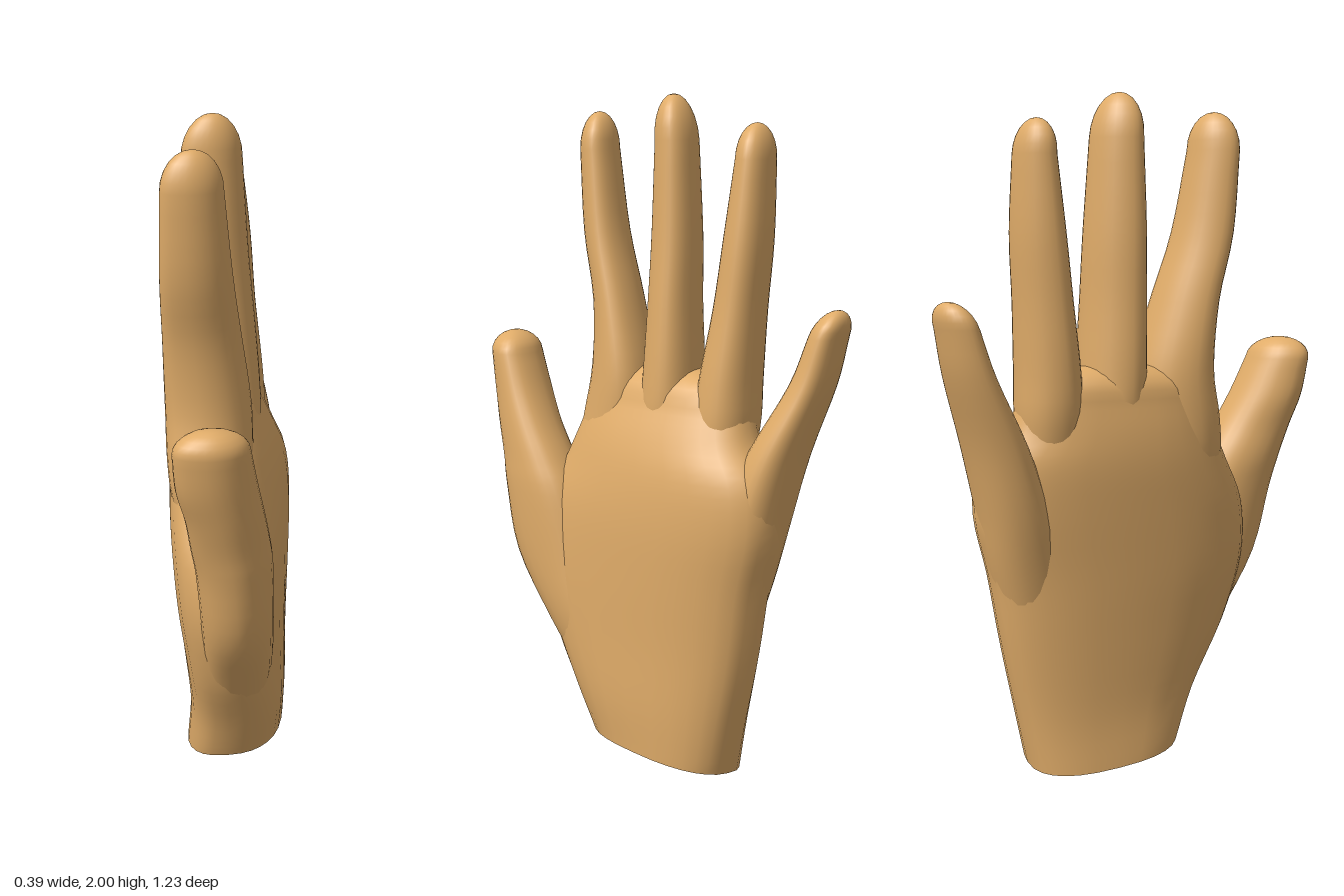
import * as THREE from 'three';

const SIDES = 28;

// Ring of points around a section: centre, radii, skew k (x shifts with z), e squares the outline
function ring(c, r, k, e, tilt) {
  const pts = [];
  for (let j = 0; j < SIDES; j++) {
    const t = (j / SIDES) * Math.PI * 2;
    const bend = (v) => Math.sign(v) * Math.pow(Math.abs(v), e);
    const dz = r.x * bend(Math.cos(t));
    const dx = r.y * bend(Math.sin(t)) + k * dz;
    pts.push(c.x + dx, c.y + tilt * (0.19 * dx + 0.09 * dz), c.z + dz);
  }
  return pts;
}

// Rows are [y, z, x, radiusZ, radiusX, skew]; tip is [y, z, x], closed by a dome
function loft(rows, tip, e, tiltTop = 0) {
  const centres = new THREE.CatmullRomCurve3(rows.map((r) => new THREE.Vector3(r[2], r[0], r[1])), false, 'catmullrom', 0.5);
  const sizes = new THREE.CatmullRomCurve3(rows.map((r) => new THREE.Vector3(r[3], r[4], r[5])), false, 'catmullrom', 0.5);
  const rings = [];
  const steps = (rows.length - 1) * 4;
  for (let i = 0; i <= steps; i++) {
    const c = centres.getPoint(i / steps);
    const s = sizes.getPoint(i / steps);
    rings.push(ring(c, s, s.z, e, tiltTop ? Math.max(0, 1 - c.y / tiltTop) : 0));
  }
  const last = centres.getPoint(1);
  const size = sizes.getPoint(1);
  const end = new THREE.Vector3(tip[2], tip[0], tip[1]);
  for (let a = 1; a <= 5; a++) {
    const ang = (a / 6) * Math.PI / 2;
    const c = last.clone().lerp(end, Math.sin(ang));
    rings.push(ring(c, size.clone().multiplyScalar(Math.cos(ang)), size.z, e, 0));
  }
  const index = [];
  for (let i = 0; i < rings.length - 1; i++) {
    for (let j = 0; j < SIDES; j++) {
      const a = i * SIDES + j;
      const b = i * SIDES + (j + 1) % SIDES;
      index.push(a, b, b + SIDES, a, b + SIDES, a + SIDES);
    }
  }
  const top = rings.length * SIDES;
  for (let j = 0; j < SIDES; j++) index.push(top - SIDES + j, top - SIDES + (j + 1) % SIDES, top);
  const geo = new THREE.BufferGeometry();
  geo.setAttribute('position', new THREE.Float32BufferAttribute([...rings.flat(), ...end.toArray()], 3));
  geo.setIndex(index);
  geo.computeVertexNormals();
  return geo;
}

export function createModel() {
  const hand = new THREE.Group();
  hand.name = 'hand';
  // Double-sided because the wrist is open at the bottom
  const skin = new THREE.MeshStandardMaterial({ color: 0xe0ac69, side: THREE.DoubleSide });
  skin.name = 'skin';
  const add = (name, geo) => {
    const mesh = new THREE.Mesh(geo, skin);
    mesh.name = name;
    hand.add(mesh);
  };

  // Palm and wrist, with a slanted opening at the bottom
  add('palm', loft([
    [0.04, -0.08, 0.022, 0.24, 0.149, 0.03],
    [0.2, -0.062, 0.033, 0.293, 0.147, 0.06],
    [0.4, -0.035, 0.03, 0.365, 0.15, 0.05],
    [0.6, -0.025, 0.024, 0.41, 0.157, 0.02],
    [0.78, -0.05, 0.015, 0.425, 0.162, 0.0],
    [0.92, -0.075, 0.002, 0.385, 0.158, -0.02],
    [1.02, -0.06, -0.011, 0.325, 0.142, -0.02],
    [1.12, -0.055, -0.026, 0.29, 0.113, -0.02],
  ], [1.22, -0.06, -0.035], 0.8, 0.4));

  // Fingers and thumb, rooted inside the palm
  const digits = {
    thumb: {
      rows: [
        [0.2, 0.1, 0.045, 0.1, 0.08, 0],
        [0.4, 0.2, 0.07, 0.133, 0.1, 0],
        [0.6, 0.305, 0.085, 0.155, 0.102, 0],
        [0.8, 0.365, 0.085, 0.145, 0.105, -0.05],
        [0.9, 0.405, 0.078, 0.128, 0.104, -0.12],
        [1.0, 0.452, 0.07, 0.11, 0.1, -0.2],
        [1.1, 0.495, 0.055, 0.096, 0.1, -0.3],
        [1.21, 0.53, 0.047, 0.08, 0.095, -0.35],
      ],
      tip: [1.275, 0.54, 0.045],
    },
    indexFinger: {
      rows: [
        [0.75, 0.15, 0, 0.09, 0.08, 0],
        [0.92, 0.155, -0.01, 0.128, 0.112, -0.1],
        [1.05, 0.145, -0.02, 0.126, 0.115, -0.2],
        [1.2, 0.135, -0.027, 0.108, 0.112, -0.3],
        [1.4, 0.168, -0.038, 0.084, 0.098, -0.45],
        [1.6, 0.222, -0.045, 0.075, 0.088, -0.45],
        [1.84, 0.254, -0.05, 0.063, 0.076, -0.45],
      ],
      tip: [1.95, 0.255, -0.05],
    },
    middleFinger: {
      rows: [
        [0.85, -0.06, -0.01, 0.08, 0.08, 0],
        [1.05, -0.065, -0.02, 0.092, 0.113, -0.15],
        [1.2, -0.065, -0.027, 0.09, 0.113, -0.3],
        [1.4, -0.062, -0.035, 0.083, 0.102, -0.37],
        [1.6, -0.06, -0.045, 0.079, 0.093, -0.37],
        [1.87, -0.055, -0.048, 0.067, 0.08, -0.37],
      ],
      tip: [2.0, -0.045, -0.045],
    },
    ringFinger: {
      rows: [
        [0.85, -0.24, -0.01, 0.08, 0.08, 0],
        [1.05, -0.262, -0.03, 0.092, 0.11, -0.1],
        [1.2, -0.27, -0.042, 0.088, 0.11, -0.2],
        [1.4, -0.288, -0.058, 0.077, 0.098, -0.3],
        [1.6, -0.306, -0.07, 0.07, 0.092, -0.32],
        [1.82, -0.318, -0.082, 0.054, 0.077, -0.32],
      ],
      tip: [1.92, -0.315, -0.09],
    },
    littleFinger: {
      rows: [
        [0.3, -0.26, 0.02, 0.08, 0.07, 0],
        [0.6, -0.325, 0.0, 0.107, 0.11, -0.05],
        [0.8, -0.375, -0.025, 0.1, 0.125, -0.15],
        [1.0, -0.438, -0.053, 0.085, 0.12, -0.3],
        [1.2, -0.52, -0.095, 0.065, 0.094, -0.4],
        [1.34, -0.56, -0.11, 0.054, 0.08, -0.42],
      ],
      tip: [1.415, -0.585, -0.115],
    },
  };
  for (const [name, { rows, tip }] of Object.entries(digits)) add(name, loft(rows, tip, 0.9));

  return hand;
}
